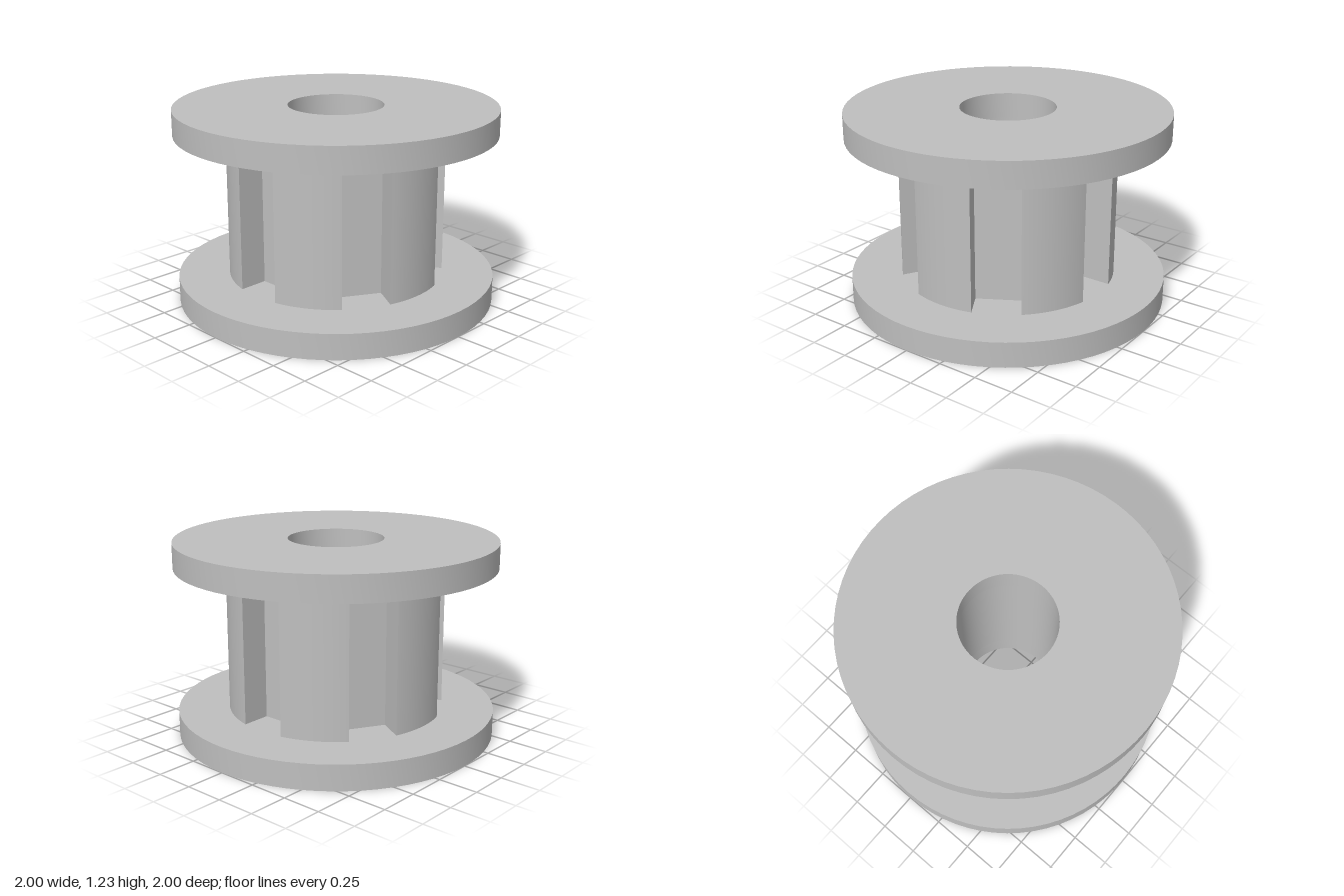
import * as THREE from 'three';
import { toCreasedNormals } from 'three/addons/utils/BufferGeometryUtils.js';

const BORE = 0.297, FLANGE_R = 1, HUB_R = 0.68;
const SLOT_FLOOR = 0.483, SLOT_HALF = 0.148, SLOTS = 6;
const FLANGE_H = 0.16, HEIGHT = 1.23;

// Extrude a bored outline upward from y0 to y1
function boredSolid(name, shape, y0, y1, material) {
  shape.holes.push(new THREE.Path().absarc(0, 0, BORE, 0, Math.PI * 2, true));
  const geo = new THREE.ExtrudeGeometry(shape, { depth: y1 - y0, bevelEnabled: false, curveSegments: 36 });
  geo.rotateX(-Math.PI / 2).translate(0, y0, 0);
  const mesh = new THREE.Mesh(toCreasedNormals(geo, 0.4), material);
  mesh.name = name;
  return mesh;
}

function discShape() {
  return new THREE.Shape().absarc(0, 0, FLANGE_R, 0, Math.PI * 2, false);
}

// Round hub cut by parallel-sided, flat-floored slots
function hubShape() {
  const shape = new THREE.Shape();
  const step = (Math.PI * 2) / SLOTS;
  const half = Math.asin(SLOT_HALF / HUB_R);
  for (let i = 0; i < SLOTS; i++) {
    const a = i * step, c = Math.cos(a), s = Math.sin(a);
    for (const w of [-SLOT_HALF, SLOT_HALF]) {
      const x = SLOT_FLOOR * c - w * s, y = SLOT_FLOOR * s + w * c;
      if (i === 0 && w < 0) shape.moveTo(x, y);
      else shape.lineTo(x, y);
    }
    shape.absarc(0, 0, HUB_R, a + half, a + step - half, false);
  }
  shape.closePath();
  return shape;
}

export function createModel() {
  const grey = new THREE.MeshStandardMaterial({ color: 0xbfbfbf });
  grey.name = 'plain grey';
  const model = new THREE.Group();
  model.name = 'slottedSpool';
  model.add(
    boredSolid('bottomFlange', discShape(), 0, FLANGE_H, grey),
    boredSolid('slottedHub', hubShape(), FLANGE_H, HEIGHT - FLANGE_H, grey),
    boredSolid('topFlange', discShape(), HEIGHT - FLANGE_H, HEIGHT, grey)
  );
  return model;
}
